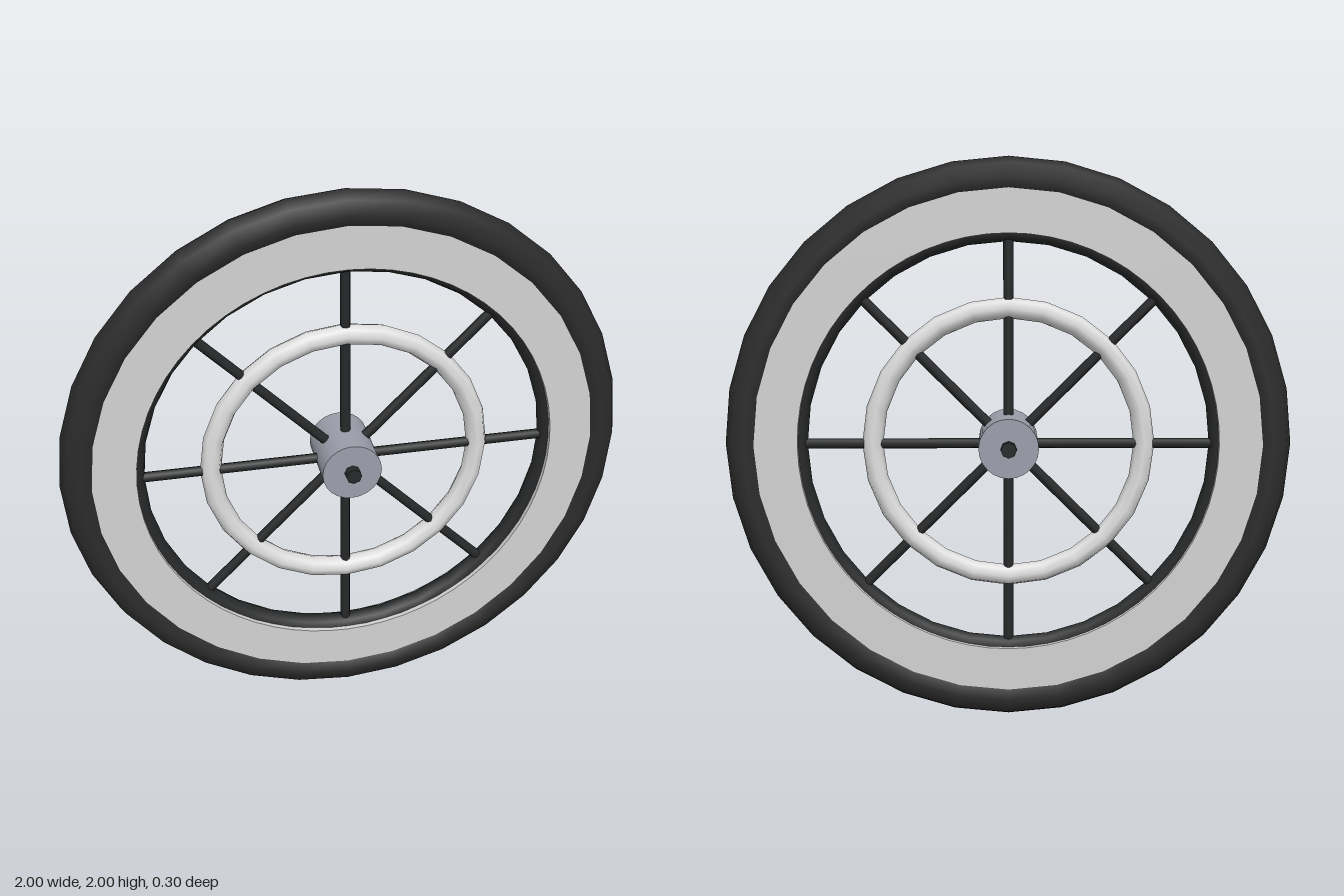
import * as THREE from 'three';

const material = (name, color) => {
  const m = new THREE.MeshStandardMaterial({ color });
  m.name = name;
  return m;
};

export function createModel() {
  const rubber = material('black rubber', 0x2b2b2b);
  const darkMetal = material('dark metal', 0x272829);
  const paleWall = material('pale side wall', 0xd2d2d2);
  const paleRing = material('pale ring', 0xdedede);
  const hubGrey = material('hub grey', 0x9b9eaa);

  const model = new THREE.Group();
  model.name = 'spokedWheel';
  const wheel = new THREE.Group();
  wheel.name = 'wheel';
  wheel.position.y = 1;
  model.add(wheel);

  const add = (name, geometry, mat) => {
    const mesh = new THREE.Mesh(geometry, mat);
    mesh.name = name;
    wheel.add(mesh);
    return mesh;
  };

  // Tyre, inner rim and the ring tying the spokes together
  add('tyre', new THREE.TorusGeometry(0.93, 0.07, 8, 32), rubber);
  add('innerRim', new THREE.TorusGeometry(0.75, 0.04, 8, 32), darkMetal);
  add('spokeRing', new THREE.TorusGeometry(0.48, 0.037, 8, 24), paleRing);

  // Pale flat side walls with a narrow inner lip
  const band = new THREE.Shape().absarc(0, 0, 0.9, 0, Math.PI * 2);
  band.holes.push(new THREE.Path().absarc(0, 0, 0.74, 0, Math.PI * 2, true));
  const bandGeometry = new THREE.ExtrudeGeometry(band, {
    depth: 0.11, bevelEnabled: false, curveSegments: 32,
  });
  bandGeometry.translate(0, 0, -0.055);
  add('sideWall', bandGeometry, paleWall);

  // Hub and axle along z
  const alongZ = (radius, length, sides) =>
    new THREE.CylinderGeometry(radius, radius, length, sides).rotateX(Math.PI / 2);
  add('hub', alongZ(0.105, 0.24, 24), hubGrey);
  add('axle', alongZ(0.028, 0.3, 8), darkMetal);

  // Eight spokes running from the hub to the rim
  const spokeGeometry = new THREE.CylinderGeometry(0.018, 0.018, 0.68, 8).translate(0, 0.4, 0);
  for (let i = 0; i < 8; i++) {
    add('spoke', spokeGeometry, darkMetal).rotation.z = (i * Math.PI) / 4;
  }
  return model;
}
